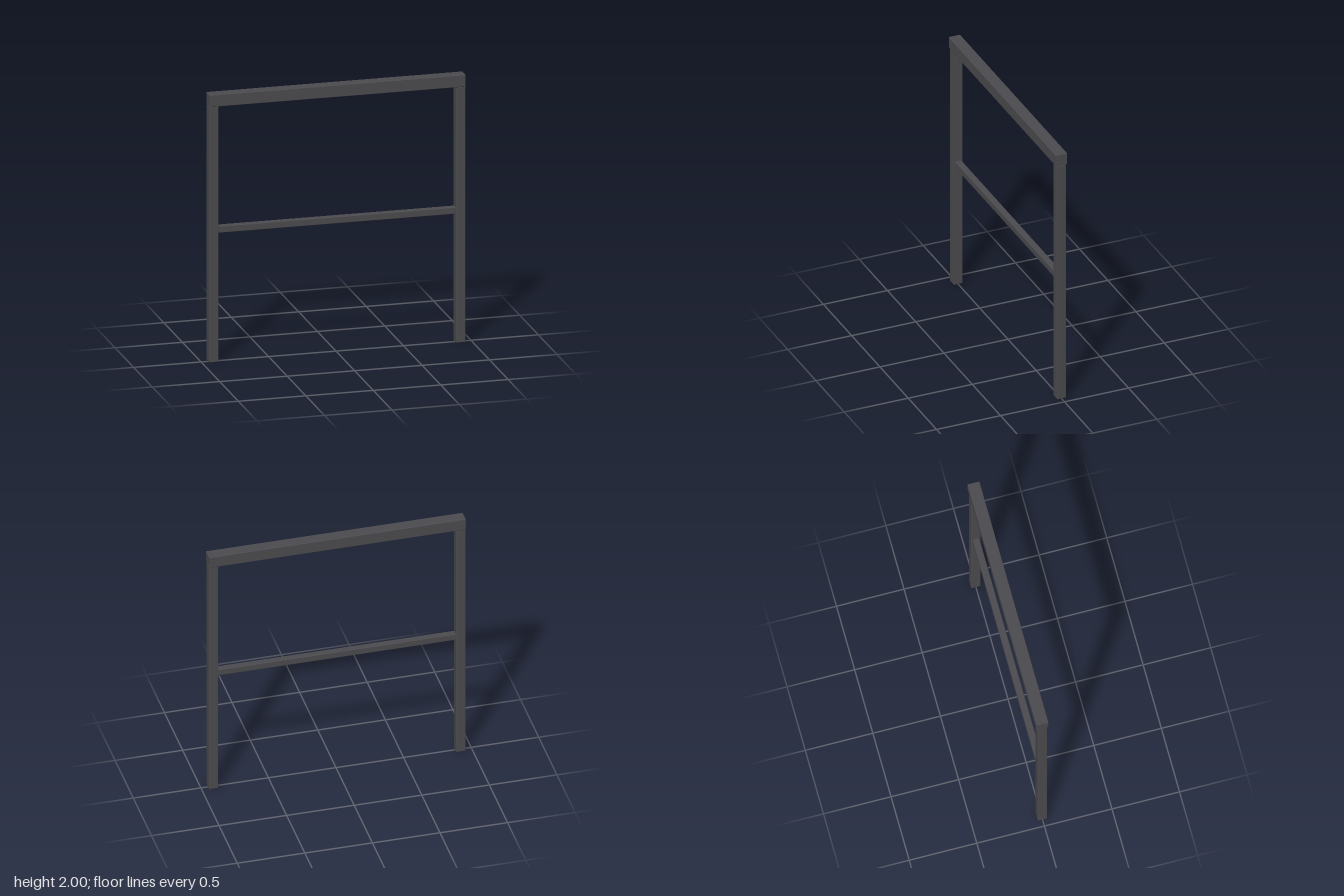
import * as THREE from 'three';
import { RoundedBoxGeometry } from 'three/addons/geometries/RoundedBoxGeometry.js';

export function createModel() {
  const group = new THREE.Group();
  const material = new THREE.MeshStandardMaterial({ color: 0x4c4c50 });

  // Square bar with slightly eased edges
  const addBar = (name, [w, h, d], [x, y, z]) => {
    const bar = new THREE.Mesh(new RoundedBoxGeometry(w, h, d, 2, 0.005), material);
    bar.name = name;
    bar.position.set(x, y, z);
    group.add(bar);
  };

  // Thick beam resting on both posts
  addBar('topBeam', [1.9, 0.09, 0.09], [0, 1.955, 0]);

  // Upright posts, mirrored
  for (const side of [1, -1]) {
    addBar(side > 0 ? 'leftPost' : 'rightPost', [0.07, 1.91, 0.07], [side * 0.915, 0.955, 0]);
  }

  // Thin rail between the posts, let slightly into them
  addBar('middleRail', [1.77, 0.05, 0.05], [0, 0.985, 0]);

  return group;
}
